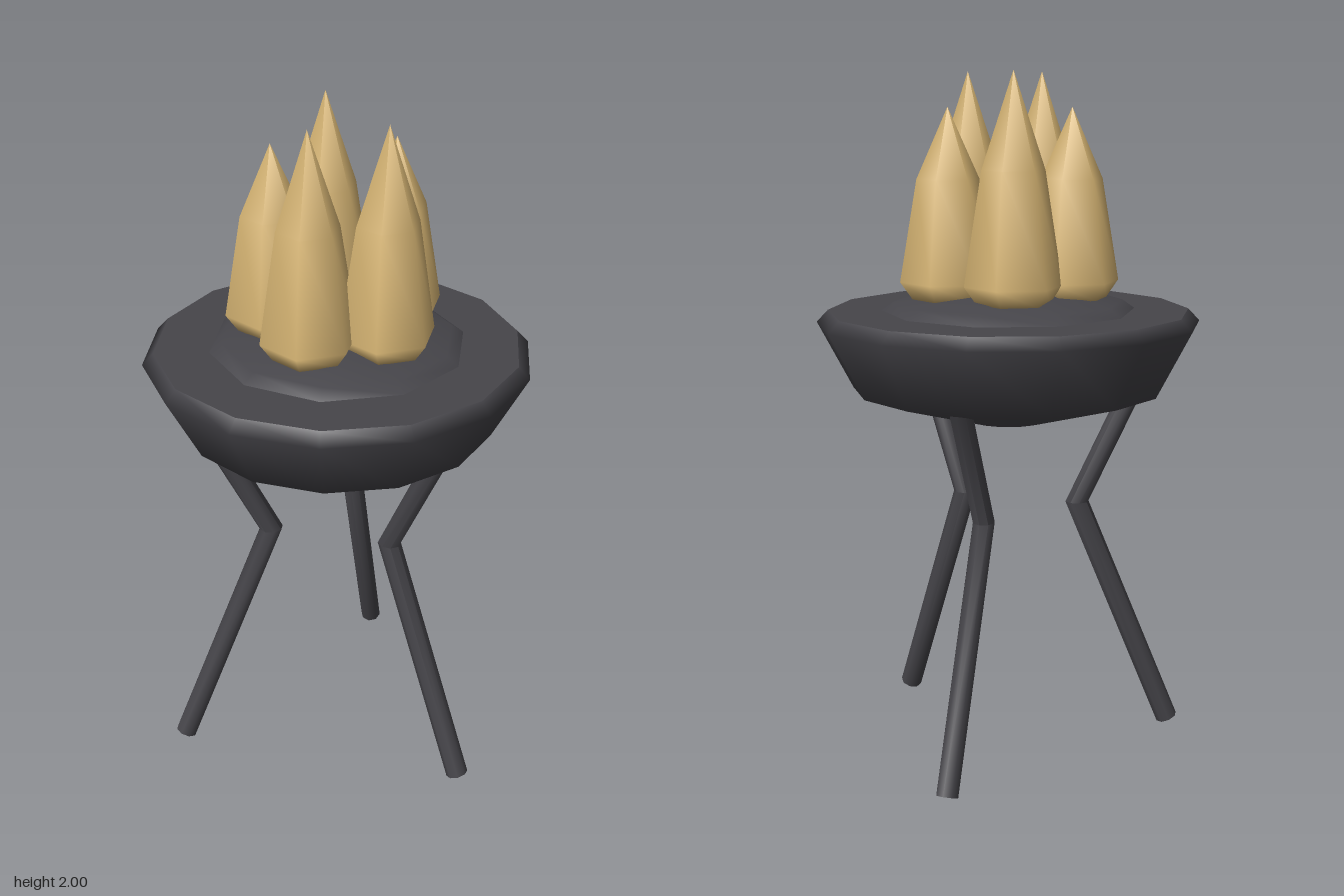
import * as THREE from 'three';
import { toCreasedNormals } from 'three/addons/utils/BufferGeometryUtils.js';

const iron = new THREE.MeshStandardMaterial({ color: 0x46454a });
iron.name = 'darkIron';
const gold = new THREE.MeshStandardMaterial({ color: 0xd9b775 });
gold.name = 'flameGold';

// Smooth turned part; profile points are [radius, height] from bottom to top
function turned(name, profile, sides, material, turn = 0) {
  const points = profile.map(([r, y]) => new THREE.Vector2(r, y));
  const mesh = new THREE.Mesh(new THREE.LatheGeometry(points, sides), material);
  mesh.rotation.y = turn;
  mesh.name = name;
  return mesh;
}

// Bent rod: a cylinder whose three rings move to the foot, knee and top, mitred at the knee
function legGeometry() {
  const r = 0.033;
  const rings = [
    { x: 0.505, y: 0.013, ux: 0.93, uy: 0.38 },
    { x: 0.21, y: 0.73, ux: 1.08, uy: 0 },
    { x: 0.4, y: 1.12, ux: 0.91, uy: -0.42 },
  ];
  const geometry = new THREE.CylinderGeometry(r, r, 2, 8, 2);
  const pos = geometry.attributes.position;
  for (let i = 0; i < pos.count; i++) {
    const ring = rings[Math.round(pos.getY(i)) + 1];
    const side = pos.getX(i);
    pos.setXY(i, ring.x + side * ring.ux, ring.y + side * ring.uy);
  }
  return toCreasedNormals(geometry, 0.8);
}

export function createModel() {
  const model = new THREE.Group();
  model.name = 'brazier';

  // Bowl with a bevelled rim and a flat top
  model.add(turned('bowl',
    [[0, 0.99], [0.11, 0.99], [0.457, 1.09], [0.56, 1.285], [0.527, 1.32]],
    14, iron, Math.PI / 2));
  model.add(turned('bowlTop', [[0.527, 1.32], [0, 1.32]], 14, iron, Math.PI / 2));

  // Low mound of coals
  model.add(turned('coalMound',
    [[0.37, 1.32], [0.335, 1.345], [0.2, 1.375], [0, 1.39]], 10, iron));

  // Ring of six-sided flames
  const heights = [2, 2, 1.9, 2, 1.9];
  heights.forEach((top, i) => {
    const angle = (i * Math.PI * 2) / 5;
    const flame = turned('flame' + (i + 1),
      [[0, 1.36], [0.105, 1.36], [0.14, 1.41], [0.09, 1.7 + (top - 1.9) * 0.3], [0, top]],
      6, gold, Math.PI / 2);
    flame.position.set(0.185 * Math.cos(angle), 0, 0.185 * Math.sin(angle));
    model.add(flame);
  });

  // Three bent legs
  const bent = legGeometry();
  for (let i = 0; i < 3; i++) {
    const leg = new THREE.Mesh(bent, iron);
    leg.rotation.y = (i * Math.PI * 2) / 3;
    leg.name = 'leg' + (i + 1);
    model.add(leg);
  }
  return model;
}
